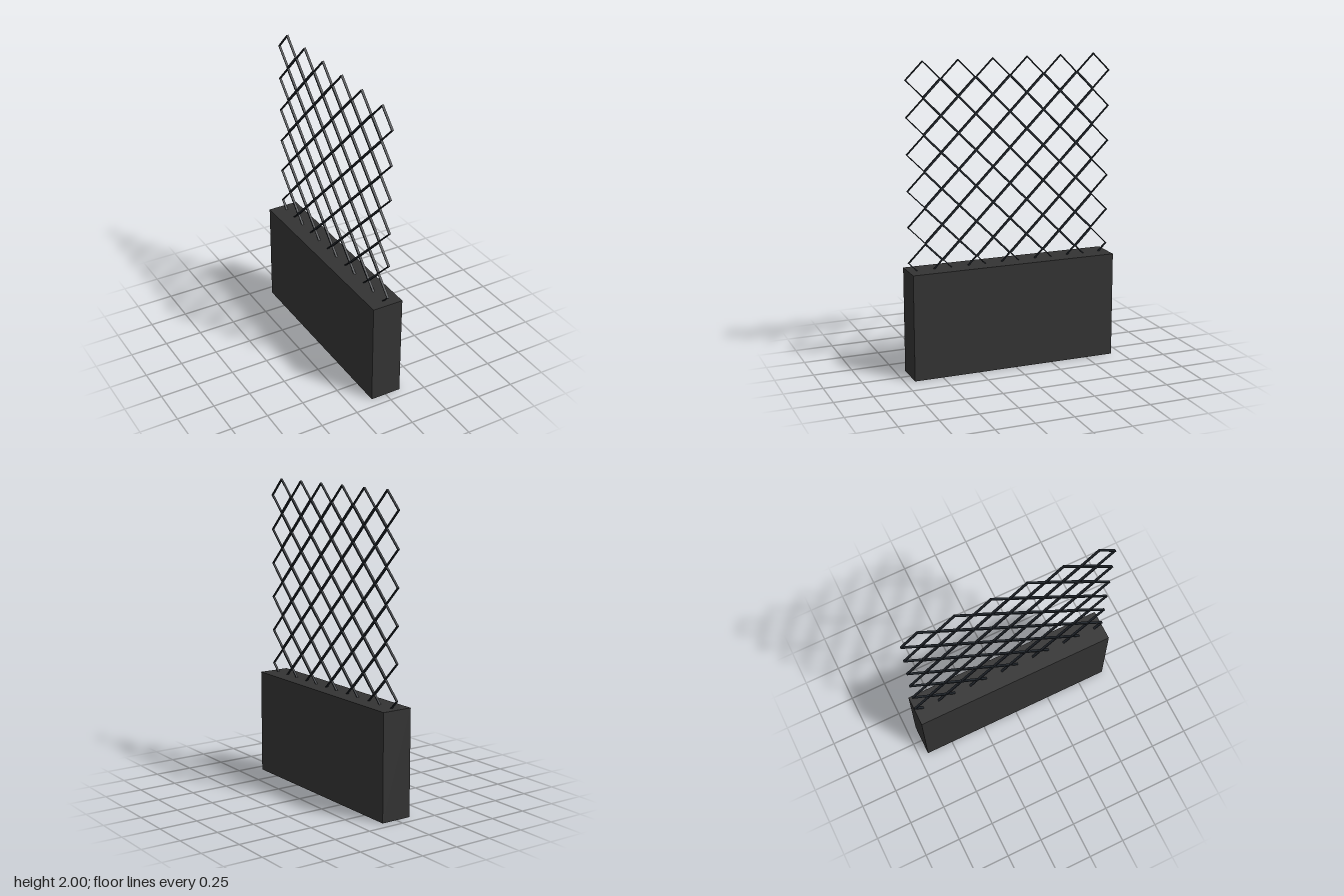
import * as THREE from 'three';

const R = 0.1143;      // half diagonal of one diamond cell
const INSET = 0.0085;  // frame width measured along the diagonal
const DEPTH = 0.0145;  // frame thickness

function diamond(Type, r) {
  return new Type([[r, 0], [0, r], [-r, 0], [0, -r]].map(([x, y]) => new THREE.Vector2(x, y)));
}

export function createModel() {
  const model = new THREE.Group();

  // Solid low wall
  const wallHeight = 0.69;
  const wall = new THREE.Mesh(
    new THREE.BoxGeometry(0.206, wallHeight, 12 * R),
    new THREE.MeshStandardMaterial({ color: 0x333333 })
  );
  wall.name = 'baseWall';
  wall.position.y = wallHeight / 2;
  model.add(wall);

  // One diamond frame, turned to lie in the yz plane
  const shape = diamond(THREE.Shape, R);
  shape.holes.push(diamond(THREE.Path, R - INSET));
  const frame = new THREE.ExtrudeGeometry(shape, { depth: DEPTH, bevelEnabled: false });
  frame.translate(0, 0, -DEPTH / 2).rotateY(Math.PI / 2);

  // Lattice: rows of six cells alternate with rows of five between them
  const lattice = new THREE.Group();
  lattice.name = 'diamondLattice';
  const metal = new THREE.MeshStandardMaterial({ color: 0x20252b });
  for (let row = 0; row < 11; row++) {
    const count = row % 2 ? 5 : 6;
    for (let i = 0; i < count; i++) {
      const cell = new THREE.Mesh(frame, metal);
      cell.name = 'latticeCell';
      cell.position.set(0, 2 - R * (row + 1), (i - (count - 1) / 2) * 2 * R);
      lattice.add(cell);
    }
  }
  model.add(lattice);
  return model;
}
